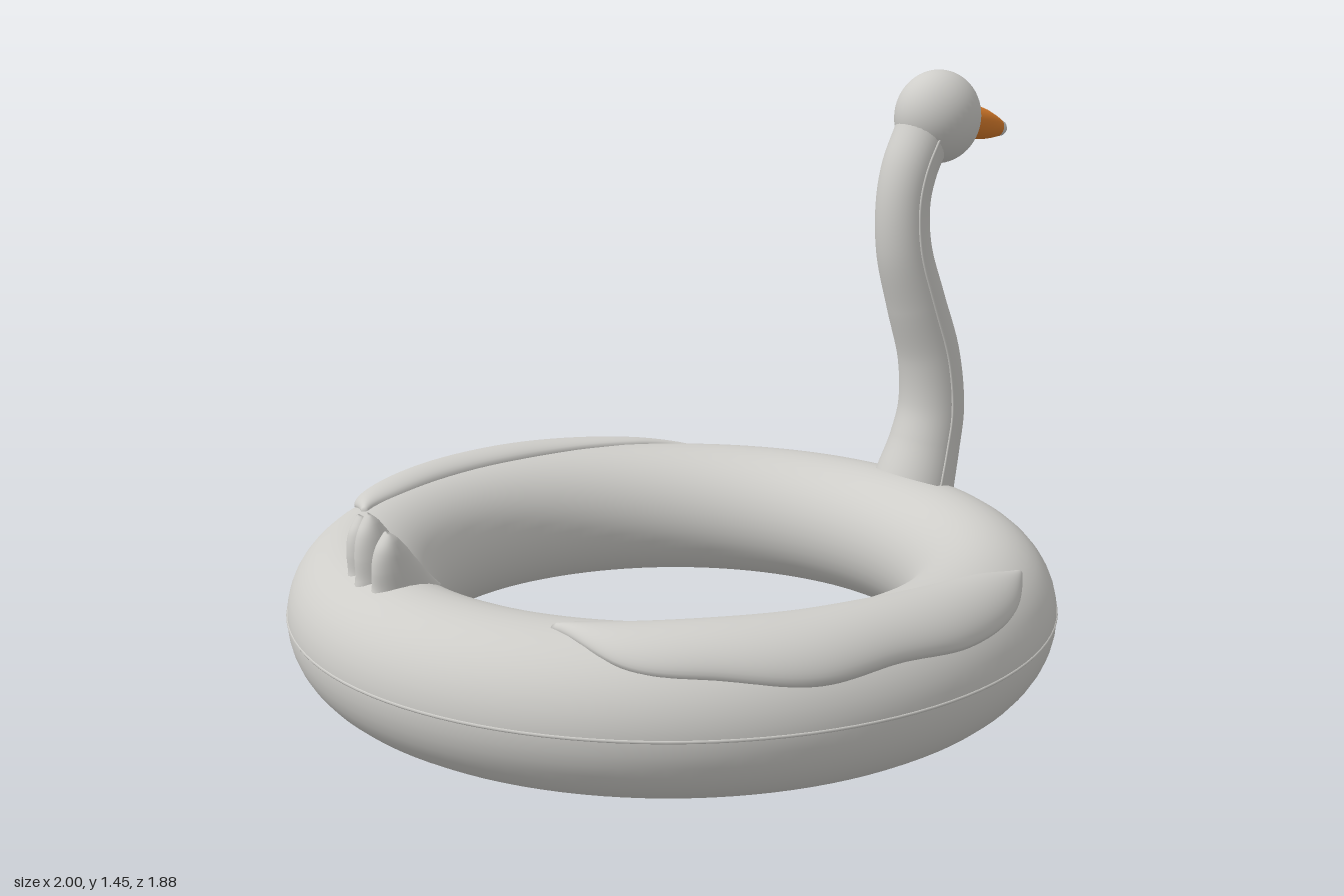
import * as THREE from 'three';
import { ParametricGeometry } from 'three/addons/geometries/ParametricGeometry.js';

const CX = -0.06, RING = 0.76, TUBE = 0.18;

// Smooth curve whose points hold (x, y, radius)
const spine = (pts) => new THREE.CatmullRomCurve3(pts.map((p) => new THREE.Vector3(...p)));

// Sweep an ellipse along a spine lying in the xy plane
function sweep(curve, depth, around, along) {
  return new ParametricGeometry((u, v, target) => {
    const c = curve.getPoint(v), t = curve.getTangent(v);
    const len = Math.hypot(t.x, t.y), a = -2 * Math.PI * u;
    target.set(
      c.x + (c.z * Math.cos(a) * t.y) / len,
      c.y - (c.z * Math.cos(a) * t.x) / len,
      depth(v, c.z) * Math.sin(a));
  }, around, along);
}

// Uniform samples joined into a smooth function of 0..1
function smooth(values) {
  const c = new THREE.SplineCurve(values.map((v, i) => new THREE.Vector2(i, v)));
  return (u) => c.getPoint(u).y;
}

export function createModel() {
  const group = new THREE.Group();
  const mat = (name, color) => {
    const m = new THREE.MeshStandardMaterial({ color });
    m.name = name;
    return m;
  };
  const white = mat('softWhite', 0xcecdc9);
  const orange = mat('beakOrange', 0xd97c2b);
  const add = (name, geo, material = white) => {
    const m = new THREE.Mesh(geo, material);
    m.name = name;
    group.add(m);
    return m;
  };

  // Inflated ring and its outer welded seam
  add('ring', new THREE.TorusGeometry(RING, TUBE, 40, 120).rotateX(Math.PI / 2)).position.set(CX, TUBE, 0);
  add('ringSeam', new THREE.TorusGeometry(0.938, 0.004, 6, 120).rotateX(Math.PI / 2)).position.set(CX, 0.185, 0);

  // Curved neck, with a closing disc at the base
  const neck = spine([
    [0.715, 0.355, 0.108], [0.745, 0.45, 0.096], [0.765, 0.55, 0.089],
    [0.752, 0.69, 0.083], [0.702, 0.84, 0.078], [0.658, 0.98, 0.073],
    [0.65, 1.1, 0.071], [0.668, 1.19, 0.073], [0.71, 1.28, 0.075]]);
  add('neck', sweep(neck, (v, r) => r, 32, 60));
  const start = neck.getPoint(0), dir = neck.getTangent(0);
  const base = add('neckBase', new THREE.CircleGeometry(start.z, 32));
  base.position.set(start.x, start.y, 0);
  base.lookAt(start.x - dir.x, start.y - dir.y, 0);

  // Seams down both sides of the neck
  for (const s of [1, -1]) {
    const path = new THREE.CatmullRomCurve3(
      neck.getPoints(24).map((p) => new THREE.Vector3(p.x, p.y, s * p.z)));
    add(s > 0 ? 'neckSeamFront' : 'neckSeamBack', new THREE.TubeGeometry(path, 60, 0.004, 6));
  }

  // Head
  const head = add('head', new THREE.SphereGeometry(0.12, 40, 28));
  head.scale.set(1, 1.01, 0.85);
  head.position.set(0.76, 1.324, 0);

  // Beak and its pale tip
  const lathe = (pts) => new THREE.LatheGeometry(pts.map((p) => new THREE.Vector2(...p)), 28);
  const beakParts = [
    add('beak', lathe([[0.046, 0], [0.045, 0.035], [0.04, 0.07], [0.032, 0.1], [0.023, 0.125]]), orange),
    add('beakTip', lathe([[0.023, 0.125], [0.019, 0.138], [0.011, 0.147], [0, 0.15]]))];
  for (const part of beakParts) {
    part.position.set(0.85, 1.312, 0);
    part.rotation.z = -Math.PI / 2 - 0.2;
  }

  // Three upright tail feathers
  const feather = sweep(
    spine([[-0.818, 0.32, 0.09], [-0.83, 0.37, 0.066], [-0.843, 0.415, 0.052],
      [-0.851, 0.455, 0.038], [-0.855, 0.485, 0.021], [-0.86, 0.509, 0.001]]),
    (v) => 0.039 * Math.sqrt(Math.max(0.0006, 1 - v * v)), 20, 24);
  feather.translate(0, -0.32, 0);
  for (const s of [-1, 0, 1]) {
    const f = add(['tailFeatherBack', 'tailFeatherMiddle', 'tailFeatherFront'][s + 1], feather);
    f.position.set(s ? 0.01 : 0, 0.32, s * 0.066);
    f.rotation.x = s * 0.08;
    if (s) f.scale.set(1, 0.87, 1);
  }

  // Puffed wings wrapped over the ring, with a scalloped outer edge
  const inner = smooth([0.56, 0.19, 0, -0.09, -0.11, -0.1, -0.04, 0.1]);
  const outer = smooth([0.64, 0.93, 1.02, 0.95, 1.04, 0.88, 0.74, 0.18]);
  for (const s of [1, -1]) {
    const wing = new ParametricGeometry((a, v, target) => {
      const u = s > 0 ? a : 1 - a;
      const theta = THREE.MathUtils.degToRad(53.5 + 87.5 * u);
      const phi = THREE.MathUtils.lerp(inner(u), outer(u), v);
      const puff = Math.max(0, Math.sin(Math.PI * u)) ** 0.4 * Math.max(0, Math.sin(Math.PI * v)) ** 0.45;
      const t = TUBE - 0.002 + 0.04 * puff;
      const r = RING + t * Math.sin(phi);
      target.set(CX + r * Math.cos(theta), TUBE + t * Math.cos(phi), s * r * Math.sin(theta));
    }, 80, 28);
    add(s > 0 ? 'wingFront' : 'wingBack', wing);
  }

  return group;
}
